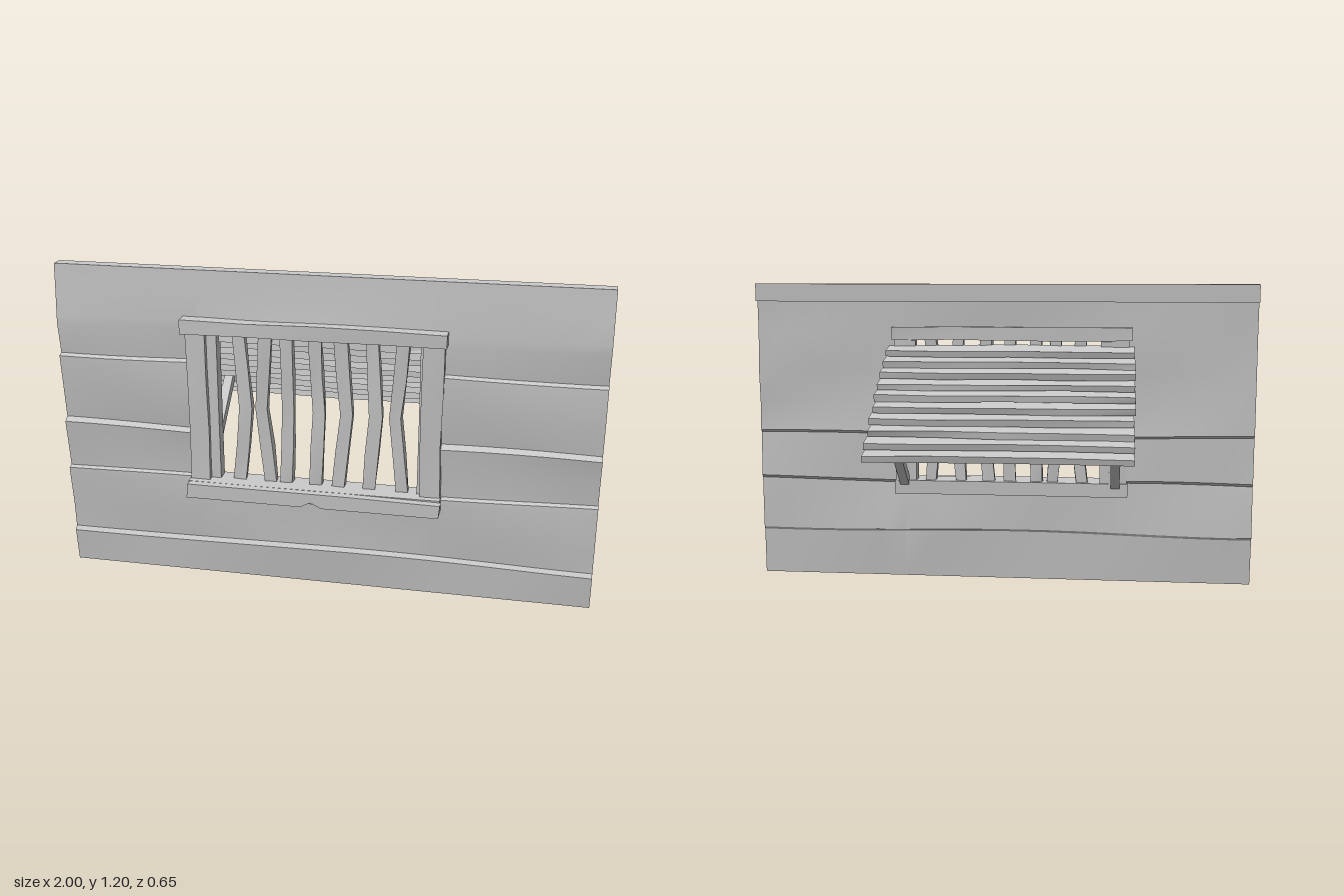
import * as THREE from 'three';
import { toCreasedNormals } from 'three/addons/utils/BufferGeometryUtils.js';

const solid = new THREE.MeshStandardMaterial({ color: 0xcccccc });
const sheet = new THREE.MeshStandardMaterial({ color: 0xcccccc, side: THREE.DoubleSide });

let seed = 7;
const rnd = (a) => {
  seed = (seed * 16807) % 2147483647;
  return (seed / 2147483647 - 0.5) * 2 * a;
};

// Wall outline as [y, z]: up the lapped front, over the cap, down the back
const PROFILE = [
  [0, 0.24], [0.135, 0.252], [0.15, 0.24], [0.25, 0.246], [0.38, 0.255],
  [0.40, 0.255], [0.405, 0.236], [0.5, 0.245], [0.585, 0.258], [0.6, 0.238],
  [0.72, 0.25], [0.84, 0.254], [0.86, 0.254], [0.868, 0.236], [0.98, 0.25],
  [1.01, 0.25], [1.1, 0.242], [1.2, 0.235],
  [1.2, 0.185], [1.13, 0.185], [1.13, 0.208], [1.01, 0.21], [0.86, 0.203],
  [0.72, 0.206], [0.6, 0.2], [0.59, 0.21], [0.41, 0.203], [0.4, 0.212],
  [0.38, 0.21], [0.2, 0.204], [0.19, 0.21], [0, 0.216],
];

// Skins an outline along x, with a slight wave in the plank edges
function wallSection(name, points, x0, x1) {
  const steps = 6, pos = [], index = [], n = points.length;
  for (let j = 0; j <= steps; j++) {
    const x = x0 + ((x1 - x0) * j) / steps;
    for (const [y, z] of points) {
      const inner = y > 0.05 && y < 1.1 ? 1 : 0;
      pos.push(x, y + inner * 0.007 * Math.sin(x * 3.5 + y * 9), z + inner * 0.004 * Math.sin(x * 5 + y * 14));
    }
  }
  for (let j = 0; j < steps; j++) {
    for (let i = 0; i < n; i++) {
      const a = j * n + i, b = j * n + ((i + 1) % n);
      index.push(a, a + n, b + n, a, b + n, b);
    }
  }
  const geo = new THREE.BufferGeometry();
  geo.setAttribute('position', new THREE.Float32BufferAttribute(pos, 3));
  geo.setIndex(index);
  const mesh = new THREE.Mesh(toCreasedNormals(geo, 0.35), sheet);
  mesh.name = name;
  return mesh;
}

// Rough board: a box cut into lengths along one axis, each cut nudged a little
function board(name, [w, h, d], [x, y, z], axis, cuts, wobble, bend) {
  const seg = [1, 1, 1];
  seg[axis] = cuts;
  const geo = new THREE.BoxGeometry(w, h, d, ...seg);
  const p = geo.attributes.position, nudges = new Map();
  for (let i = 0; i < p.count; i++) {
    const v = [p.getX(i), p.getY(i), p.getZ(i)];
    const key = v.map((c) => c.toFixed(4)).join();
    if (!nudges.has(key)) nudges.set(key, [0, 1, 2].map((k) => (k === axis ? 0 : rnd(wobble))));
    const t = v[axis] / [w, h, d][axis] + 0.5;
    const o = nudges.get(key);
    p.setXYZ(i, v[0] + o[0] + (bend ? bend(t) : 0), v[1] + o[1], v[2] + o[2]);
  }
  const mesh = new THREE.Mesh(toCreasedNormals(geo, 0.3), solid);
  mesh.name = name;
  mesh.position.set(x, y, z);
  return mesh;
}

// Window sill with a chip out of its lower front edge
function makeSill() {
  const s = new THREE.Shape();
  [[-0.505, 0.35], [-0.07, 0.35], [-0.03, 0.37], [0.01, 0.35], [0.44, 0.35],
    [0.445, 0.4], [0.1, 0.405], [-0.5, 0.405]].forEach(([x, y], i) => (i ? s.lineTo(x, y) : s.moveTo(x, y)));
  const front = new THREE.ExtrudeGeometry(s, { depth: 0.03, bevelEnabled: false });
  const mesh = new THREE.Mesh(front, solid);
  mesh.name = 'sillFront';
  mesh.position.z = 0.297;
  const group = new THREE.Group();
  group.name = 'sill';
  group.add(mesh, board('sillBody', [0.945, 0.055, 0.107], [-0.032, 0.378, 0.2435], 0, 4, 0.001));
  return group;
}

export function createModel() {
  const model = new THREE.Group();
  model.name = 'awningWindowWall';

  // Plank wall around the opening
  const wall = new THREE.Group();
  wall.name = 'wall';
  wall.add(
    wallSection('wallRightSide', PROFILE, -1, -0.46),
    wallSection('wallLeftSide', PROFILE, 0.4, 1),
    wallSection('wallBelow', PROFILE.filter(([y]) => y < 0.395), -0.46, 0.4),
    wallSection('wallAbove', PROFILE.filter(([y]) => y > 1), -0.46, 0.4),
  );
  model.add(wall);

  // Window frame
  const frame = new THREE.Group();
  frame.name = 'frame';
  frame.add(
    board('header', [0.96, 0.052, 0.105], [-0.033, 1.003, 0.242], 0, 4, 0.003),
    board('rightPost', [0.072, 0.58, 0.072], [-0.465, 0.69, 0.234], 1, 3, 0.004),
    board('rightInnerPost', [0.04, 0.57, 0.05], [-0.412, 0.69, 0.222], 1, 2, 0.001),
    board('leftPost', [0.072, 0.58, 0.072], [0.4, 0.69, 0.234], 1, 3, 0.004),
    board('leftInnerPost', [0.03, 0.57, 0.05], [0.366, 0.69, 0.222], 1, 2, 0.001),
    makeSill(),
  );
  model.add(frame);

  // Crooked bars: x at bottom, middle and top
  const bars = new THREE.Group();
  bars.name = 'bars';
  [[-0.32, -0.29, -0.31], [-0.2, -0.23, -0.21], [-0.14, -0.13, -0.135], [-0.03, -0.015, -0.03],
    [0.055, 0.085, 0.065], [0.17, 0.195, 0.18], [0.295, 0.265, 0.29]].forEach(([b, m, t], i) => {
    const bend = (u) => (u < 0.5 ? b + (m - b) * u * 2 : m + (t - m) * (u * 2 - 1));
    bars.add(board(`bar${i + 1}`, [0.046, 0.58, 0.032], [0, 0.69, 0.226], 1, 4, 0.003, bend));
  });
  model.add(bars);

  // Stepped awning of overlapping slats
  const awning = new THREE.Group();
  awning.name = 'awning';
  const slats = 10;
  for (let i = 0; i < slats; i++) {
    const t = i / (slats - 1);
    const slat = board(`slat${i + 1}`, [0.985 + rnd(0.006), 0.025, 0.1],
      [-0.03 + rnd(0.004), 0.936 - 0.347 * t, 0.17 - 0.442 * t], 0, 4, 0.003);
    slat.rotation.x = -0.19;
    awning.add(slat);
  }
  model.add(awning);

  // Diagonal struts under the awning
  const low = new THREE.Vector3(0, 0.4, 0.2), high = new THREE.Vector3(0, 0.7, -0.13);
  const dir = high.clone().sub(low), mid = low.clone().add(high).multiplyScalar(0.5);
  for (const [name, x] of [['rightStrut', -0.455], ['leftStrut', 0.4]]) {
    const strut = board(name, [0.036, dir.length(), 0.034], [x, mid.y, mid.z], 1, 2, 0.001);
    strut.rotation.x = Math.atan2(dir.z, dir.y);
    model.add(strut);
  }
  return model;
}
